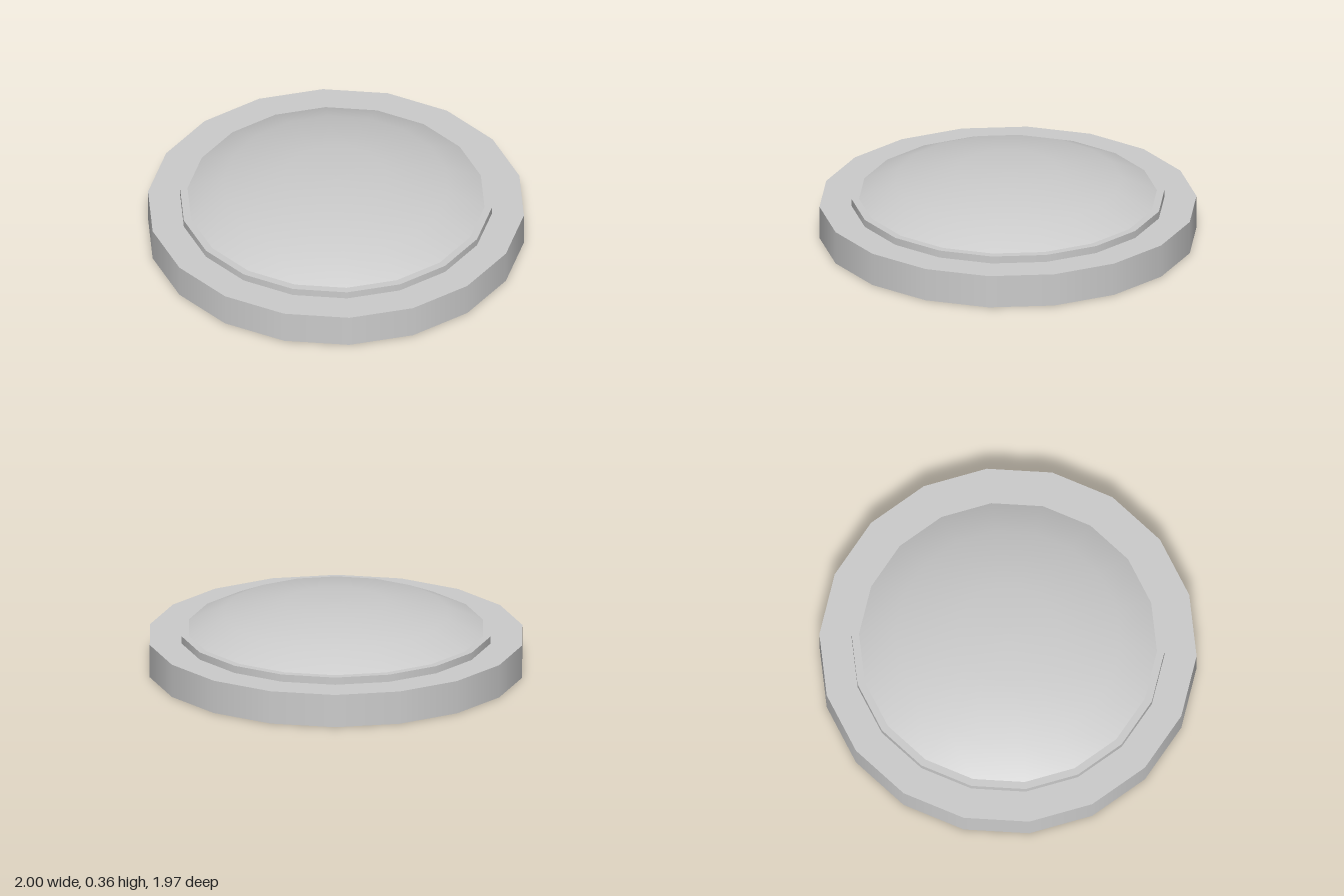
import * as THREE from 'three';

const SIDES = 18;
const START = Math.PI / 2; // puts a corner on the x axis

export function createModel() {
  const model = new THREE.Group();
  const material = new THREE.MeshStandardMaterial({ color: 0xcccccc });

  const add = (name, geometry, y) => {
    const mesh = new THREE.Mesh(geometry, material);
    mesh.name = name;
    mesh.position.y = y;
    model.add(mesh);
  };
  const disc = (radius, height) =>
    new THREE.CylinderGeometry(radius, radius, height, SIDES, 1, false, START);

  // Wide base and the thin raised rim on top of it
  add('base', disc(1, 0.18), 0.09);
  add('rim', disc(0.83, 0.04), 0.2);

  // Shallow smooth dome with a nearly flat crown
  const profile = [[0.79, 0], [0.6, 0.085], [0.27, 0.14], [0, 0.142]]
    .map(([r, y]) => new THREE.Vector2(r, y));
  add('dome', new THREE.LatheGeometry(profile, SIDES, START), 0.22);

  return model;
}
